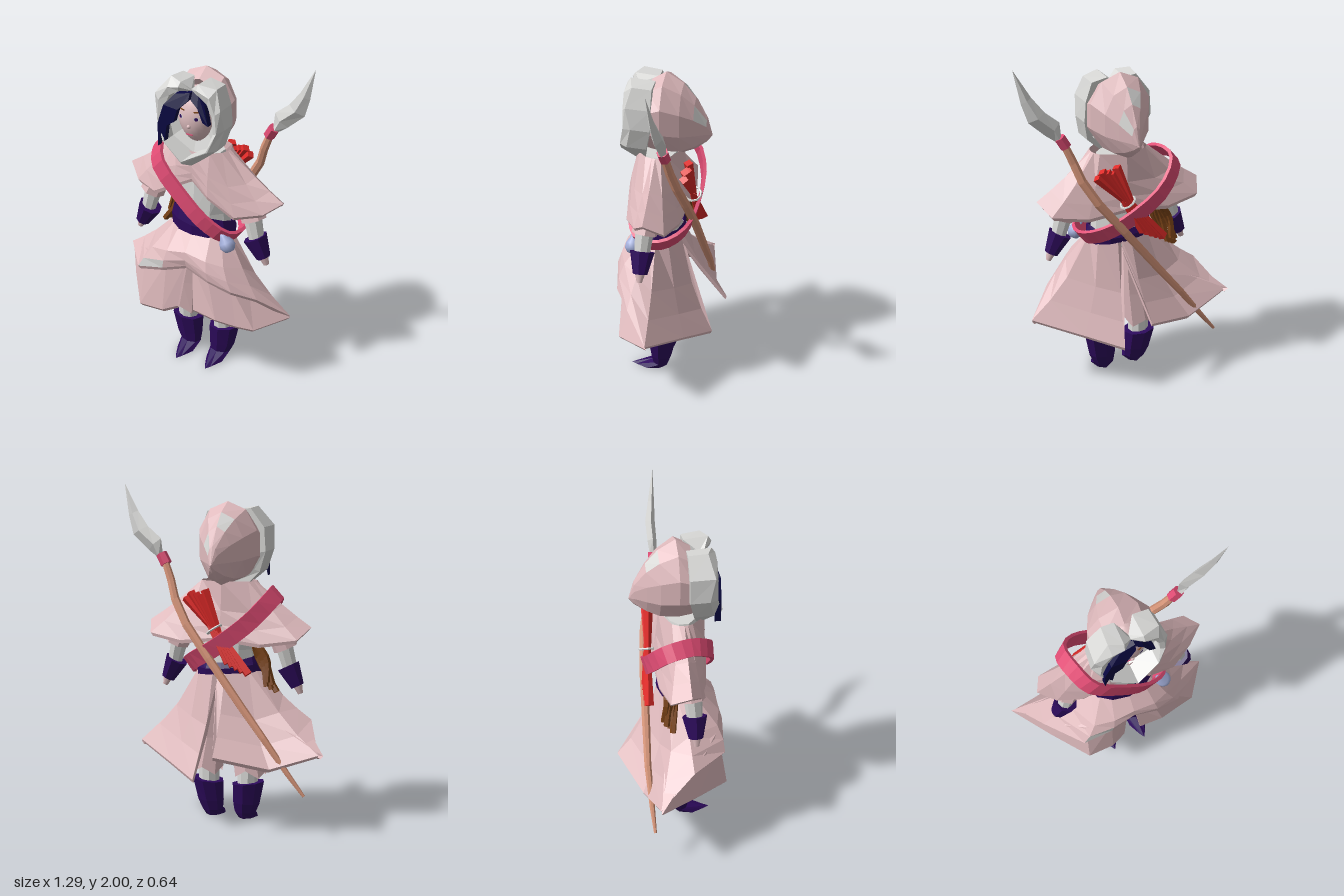
import * as THREE from 'three';

const V = (x, y, z) => new THREE.Vector3(x, y, z);
const paint = (name, color, flatShading = true) => {
  const m = new THREE.MeshStandardMaterial({ color, flatShading, side: THREE.DoubleSide });
  m.name = name;
  return m;
};

export function createModel() {
  const root = new THREE.Group();
  const cloth = paint('pinkCloth', 0xe0bbbe), grey = paint('paleGrey', 0xd8d8d6);
  const skin = paint('skin', 0xe2c0c2, false), purple = paint('purpleLeather', 0x2d0a5c);
  const navy = paint('navyHair', 0x0a0842), crimson = paint('crimsonBand', 0xe04c74);
  const red = paint('redQuiver', 0xe02a28), wood = paint('wood', 0xd8967a);
  const brown = paint('brownLeather', 0x7a4317), blue = paint('blueBag', 0xa4b0dc, false);

  const add = (name, geo, mat) => {
    const m = new THREE.Mesh(geo, mat);
    m.name = name;
    root.add(m);
    return m;
  };
  // Skin through rings of points; patches are [ring, segment] faces in grey
  const loft = (name, rings, mat, { closed = true, cap = false, patches = [] } = {}) => {
    const pts = [], n = rings[0].length, geo = new THREE.BufferGeometry();
    for (let i = 0; i < rings.length - 1; i++)
      for (let j = 0; j < (closed ? n : n - 1); j++) {
        const k = (j + 1) % n, a = rings[i][j], b = rings[i][k], c = rings[i + 1][k], d = rings[i + 1][j];
        const grp = patches.some(p => p[0] === i && p[1] === j) ? 1 : 0;
        if (patches.length) geo.addGroup(pts.length, 6, grp);
        pts.push(a, d, c, a, c, b);
      }
    if (cap) for (const r of [rings[0], rings[rings.length - 1]]) {
      const mid = r.reduce((s, p) => s.add(p), V(0, 0, 0)).divideScalar(n);
      r.forEach((p, j) => r === rings[0] ? pts.push(mid, p, r[(j + 1) % n]) : pts.push(mid, r[(j + 1) % n], p));
    }
    geo.setFromPoints(pts);
    geo.computeVertexNormals();
    return add(name, geo, patches.length ? [mat, grey] : mat);
  };
  // Horizontal ring, first point at the front; jag lowers every other point
  const ring = (cx, y, cz, rx, rz, n = 8, jag = 0) => Array.from({ length: n }, (_, i) => {
    const a = i / n * Math.PI * 2;
    return V(cx + rx * Math.sin(a), y - (i % 2) * jag, cz + rz * Math.cos(a));
  });
  const rod = (name, a, b, r0, r1, mat, sides = 7) => {
    const m = add(name, new THREE.CylinderGeometry(r1, r0, a.distanceTo(b), sides), mat);
    m.position.copy(a).lerp(b, 0.5);
    m.quaternion.setFromUnitVectors(V(0, 1, 0), b.clone().sub(a).normalize());
    return m;
  };
  // Thick cloth from an oval neckline or waist to a pointed hem: bulges in front, hollow at sides and back
  const garment = (name, hem, y, rx, rz, cz, bulge, patches = []) => {
    const top = hem.map(p => {
      const a = Math.atan2(p.x, p.z - cz);
      return V(rx * Math.sin(a), y, cz + rz * Math.cos(a));
    });
    const step = (t, amount, inset = 0) => top.map((p, i) => {
      const q = p.clone().lerp(hem[i], t);
      const out = amount * THREE.MathUtils.clamp((hem[i].z - 0.12) / 0.15, -0.6, 1) - inset;
      return V(q.x * (1 + Math.min(out, 0)), q.y, cz + (q.z - cz) * (1 + out));
    });
    const under = hem.map(p => V(p.x * 0.97, p.y - 0.02, p.z * 0.97));
    return loft(name, [top, step(0.52, bulge), step(0.78, bulge * 0.6), hem, under, step(0.6, bulge, 0.08)],
      cloth, { patches });
  };

  // Torso and belt
  loft('torso', [ring(0, 0.85, 0.07, 0.18, 0.13, 10), ring(0, 1.04, 0.07, 0.16, 0.12, 10),
    ring(0, 1.26, 0.07, 0.18, 0.11, 10), ring(0, 1.42, 0.07, 0.13, 0.09, 10)], grey, { cap: true });
  const beltEdge = (front, back, r) => ring(0, 0, 0.07, r, r - 0.06, 12).map(p =>
    V(p.x, THREE.MathUtils.lerp(back, front, (p.z + 0.08) / 0.3) - p.x * 0.09, p.z));
  loft('belt', [beltEdge(1.05, 0.96, 0.19), beltEdge(0.97, 0.93, 0.205), beltEdge(0.88, 0.9, 0.2)], purple);

  // Shoulder cape
  const capeSide = [[0.12, 1.2, 0.235], [0.28, 1.1, 0.21], [0.42, 1.12, 0.13], [0.51, 1.185, 0.06],
    [0.46, 1.12, -0.05], [0.25, 1.09, -0.09]];
  garment('cape', [V(0, 1.27, 0.205), ...capeSide.map(p => V(...p)), V(0, 1.12, -0.1),
    ...capeSide.slice().reverse().map(p => V(-p[0], p[1], p[2] - (p[2] > 0.15 ? 0.035 : 0)))],
    1.44, 0.17, 0.13, 0.07, 0.1);

  // Overskirt with split back tails, and the two front panels below it
  const hem = [[0, 0.73, 0.28], [0.16, 0.69, 0.3], [0.3, 0.64, 0.27], [0.42, 0.58, 0.18], [0.57, 0.44, 0.04],
    [0.3, 0.36, -0.13], [0.1, 0.3, -0.26], [0.03, 0.82, -0.08], [-0.05, 0.46, -0.32], [-0.35, 0.39, -0.2],
    [-0.62, 0.48, -0.13], [-0.51, 0.64, 0.08], [-0.33, 0.63, 0.29], [-0.15, 0.68, 0.3]].map(p => V(...p));
  garment('overskirt', hem, 0.92, 0.19, 0.13, 0.07, 0.24, [[2, 12]]);
  const panel = (name, top, low) => {
    const t = top.map(p => V(...p)), l = low.map(p => V(...p));
    loft(name, [t, l, l.map(p => V(p.x * 0.97, p.y - 0.02, p.z * 0.95)), t.map(p => V(p.x * 0.95, p.y, p.z * 0.93))],
      cloth, { closed: false });
  };
  panel('rightSkirtPanel', [[-0.02, 0.73, 0.24], [-0.14, 0.7, 0.27], [-0.3, 0.65, 0.26], [-0.45, 0.65, 0.08], [-0.4, 0.6, -0.08]],
    [[-0.06, 0.43, 0.28], [-0.15, 0.39, 0.31], [-0.31, 0.38, 0.31], [-0.48, 0.43, 0.1], [-0.65, 0.48, -0.13]]);
  panel('leftSkirtPanel', [[0.02, 0.73, 0.24], [0.14, 0.7, 0.27], [0.28, 0.66, 0.24], [0.36, 0.6, 0.16], [0.43, 0.52, 0.03]],
    [[0.05, 0.44, 0.28], [0.2, 0.42, 0.28], [0.32, 0.4, 0.25], [0.43, 0.4, 0.23], [0.57, 0.43, 0.04]]);

  for (const s of [1, -1]) {
    const side = s > 0 ? 'left' : 'right';
    // Leg: flared trouser, lining and pointed boot
    loft(side + 'Trouser', [ring(s * 0.08, 0.8, 0.06, 0.08, 0.09), ring(s * 0.11, 0.5, 0.06, 0.09, 0.08),
      ring(s * 0.14, 0.32, 0.055, 0.105, 0.085, 8, 0.045)], cloth);
    rod(side + 'LegLining', V(s * 0.125, 0.215, 0.05), V(s * 0.125, 0.42, 0.06), 0.062, 0.065, grey, 9);
    const bootTop = r => ring(s * 0.13, 0, 0.045, r, r * 0.9).map(p => V(p.x, 0.237 + (Math.abs(p.x) - 0.13) * 0.12, p.z));
    const sole = ring(s * 0.105, 0.008, 0.13, 0.055, 0.11).map(p =>
      V(s * 0.105 + (p.x - s * 0.105) * (p.z > 0.15 ? 0.5 : 1), p.y - (p.z - 0.13) * 0.04, p.z));
    loft(side + 'Boot', [bootTop(0.06), bootTop(0.1), ring(s * 0.115, 0.11, 0.05, 0.085, 0.065),
      ring(s * 0.105, 0.05, 0.055, 0.067, 0.05), sole], purple, { cap: true });
    // Arm: sleeve, lining, gauntlet and hand
    rod(side + 'Sleeve', V(s * 0.345, 1.05, 0.09), V(s * 0.25, 1.28, 0.06), 0.075, 0.055, cloth);
    rod(side + 'SleeveLining', V(s * 0.37, 0.93, 0.1), V(s * 0.33, 1.08, 0.09), 0.045, 0.055, grey, 8);
    rod(side + 'Gauntlet', V(s * 0.416, 0.828, 0.1), V(s * 0.358, 0.945, 0.1), 0.042, 0.072, purple, 8);
    rod(side + 'Hand', V(s * 0.435, 0.785, 0.1), V(s * 0.41, 0.85, 0.1), 0.016, 0.034, skin, 8);
    // Eye and brow plates
    for (const [part, r, z, mat] of [['Eye', 0.019, 0.231, grey], ['Iris', 0.011, 0.234, purple]]) {
      const eye = add(side + part, new THREE.CircleGeometry(r, 12), mat);
      eye.scale.y = part === 'Eye' ? 0.6 : 1;
      eye.position.set(s * 0.05, 1.66, z);
      eye.rotation.y = s * 0.4;
    }
    const brow = add(side + 'Brow', new THREE.BoxGeometry(0.04, 0.005, 0.006), brown);
    brow.position.set(s * 0.05, 1.698, 0.222);
    brow.rotation.y = s * 0.4;
  }

  // Head with a narrowing chin
  const head = new THREE.SphereGeometry(1, 24, 18), hp = head.attributes.position;
  for (let i = 0; i < hp.count; i++) {
    const y = hp.getY(i), k = 1 - 0.22 * Math.max(0, -y);
    hp.setXYZ(i, hp.getX(i) * 0.125 * k, 1.645 + y * 0.165, 0.12 + hp.getZ(i) * 0.115);
  }
  head.computeVertexNormals();
  add('head', head, skin);
  add('nose', new THREE.SphereGeometry(0.012, 8, 6), skin).position.set(0, 1.605, 0.231);
  add('mouth', new THREE.BoxGeometry(0.04, 0.005, 0.006), crimson).position.set(-0.005, 1.55, 0.216);

  // Hair locks, leaning back above the brow
  const lock = (name, z, pts) => {
    const geo = new THREE.ExtrudeGeometry(new THREE.Shape(pts.map(p => new THREE.Vector2(...p))),
      { depth: 0.035, bevelEnabled: false });
    const p = geo.attributes.position;
    for (let i = 0; i < p.count; i++) p.setZ(i, p.getZ(i) + z - Math.max(0, p.getY(i) - 1.72) * 0.4);
    geo.computeVertexNormals();
    add(name, geo, navy);
  };
  lock('longHairLock', 0.235, [[0.01, 1.81], [-0.08, 1.79], [-0.14, 1.72], [-0.18, 1.6], [-0.178, 1.46], [-0.155, 1.55],
    [-0.135, 1.5], [-0.12, 1.6], [-0.075, 1.63], [-0.05, 1.71], [0.01, 1.77]]);
  lock('shortHairLock', 0.208, [[0.0, 1.81], [0.05, 1.8], [0.1, 1.75], [0.13, 1.64], [0.095, 1.655], [0.06, 1.73], [0, 1.77]]);

  // Hood, drawn back to a point
  const hoodRings = [[0.12, 0.19, 1.85, 1.44], [0.04, 0.19, 1.9, 1.42], [-0.06, 0.14, 1.84, 1.42],
    [-0.13, 0.085, 1.76, 1.45], [-0.195, 0.03, 1.65, 1.5], [-0.225, 0.003, 1.545, 1.54]].map(([z, rx, top, low]) =>
    Array.from({ length: 10 }, (_, i) => {
      const a = i / 10 * Math.PI * 2;
      return V(rx * Math.sin(a), (top + low) / 2 + (top - low) / 2 * Math.cos(a), z);
    }));
  loft('hood', hoodRings, cloth, { patches: [[2, 9], [3, 1]] });

  // Chunky fur rim and collar round the face
  const outer = [[0, 1.82], [0.06, 1.87], [0.16, 1.85], [0.2, 1.74], [0.21, 1.62], [0.18, 1.5], [0, 1.35],
    [-0.18, 1.5], [-0.23, 1.62], [-0.22, 1.76], [-0.13, 1.87], [-0.05, 1.86]];
  const inside = [[0, 1.8], [0.06, 1.81], [0.12, 1.77], [0.15, 1.7], [0.16, 1.6], [0.135, 1.5], [0, 1.425],
    [-0.135, 1.5], [-0.16, 1.6], [-0.15, 1.7], [-0.12, 1.77], [-0.06, 1.81]];
  const rim = outer.map(([x, y], i) => {
    const [u, v] = inside[i], back = 0.09 + Math.max(0, 1.6 - y) * 0.3 + (i ? 0 : 0.08);
    const front = 0.24 - (i ? 0 : 0.05), k = v < 1.55 ? 0.8 : 0.5;
    return [V(x * 0.94, y - 0.01, back), V(x, y, 0.2 + (i % 2) * 0.03),
      V(x + (u - x) * k, y + (v - y) * k, front + 0.01 + Math.max(0, 1.56 - v) * 0.45),
      V(u, v, front + Math.max(0, 1.58 - v) * 0.5), V(u, v, back)];
  });
  loft('furRim', [...rim, rim[0]], grey);
  loft('collarLining', [inside.map(([x, y]) => V(x, y, 0.18)), inside.map(() => V(0, 1.62, 0.12))], grey);

  // Sash looping from right shoulder to left hip
  const path = new THREE.CatmullRomCurve3([[-0.29, 1.375, 0.09], [-0.23, 1.315, 0.2], [-0.05, 1.15, 0.235],
    [0.1, 1.02, 0.23], [0.21, 0.935, 0.17], [0.24, 0.93, 0.03], [0.16, 0.98, -0.09], [0, 1.07, -0.138],
    [-0.2, 1.22, -0.138], [-0.31, 1.355, -0.05]].map(p => V(...p)), true, 'centripetal');
  const sash = Array.from({ length: 29 }, (_, i) => {
    const p = path.getPoint(i / 28 % 1), t = path.getTangent(i / 28 % 1);
    const out = p.clone().sub(V(-0.03, 1.14, 0.04));
    out.addScaledVector(t, -out.dot(t)).normalize();
    const w = t.clone().cross(out);
    return [[1, 1], [1, -1], [-1, -1], [-1, 1]].map(([a, b]) =>
      p.clone().addScaledVector(w, a * 0.05).addScaledVector(out, b * 0.01));
  });
  loft('sash', sash, crimson);

  // Hip bag
  const bag = add('hipBag', new THREE.LatheGeometry([[0, -0.06], [0.03, -0.052], [0.046, -0.025], [0.042, 0.005],
    [0.02, 0.04], [0.016, 0.06], [0, 0.065]].map(p => new THREE.Vector2(...p)), 14), blue);
  bag.position.set(0.22, 0.91, 0.19);
  bag.rotation.z = 0.5;

  // Braided straps at the right hip
  for (let i = 0; i < 5; i++)
    add('hipStrap', new THREE.TubeGeometry(new THREE.CatmullRomCurve3([V(-0.18, 1.13, -0.02 - i * 0.008),
      V(-0.2 - i * 0.02, 1.0, 0.01 - i * 0.015), V(-0.33 + ((i * 2) % 5) * 0.014, 0.81 + i * 0.015, -0.02 - i * 0.012)]),
      8, 0.019, 5), brown);

  // Red bundle across the back, tied in the middle
  for (let i = -2; i <= 2; i++) {
    const knot = V(0.02 + i * 0.016, 1.17 + i * 0.01, -0.12);
    rod('bundleTop', knot, V(0.145 + i * 0.03, 1.37 + (i % 2) * 0.02 - i * 0.012, -0.105), 0.016, 0.028, red, 4);
    rod('bundleTail', knot, V(-0.135 + i * 0.032, 0.95 + i * 0.014, -0.14), 0.016, 0.028, red, 4);
  }
  const tie = add('bundleTie', new THREE.TorusGeometry(0.048, 0.007, 5, 10), grey);
  tie.position.set(0.02, 1.17, -0.12);
  tie.rotation.set(Math.PI / 2, -0.6, 0);

  // Spear: crooked shaft, binding and leaf blade
  const shaft = [[-0.545, 0.24, -0.155, 0.009], [-0.45, 0.36, -0.16, 0.016], [-0.3, 0.56, -0.165, 0.021],
    [-0.17, 0.72, -0.155, 0.024], [0.05, 1.0, -0.14, 0.026], [0.2, 1.19, -0.115, 0.027], [0.285, 1.33, -0.08, 0.027],
    [0.325, 1.44, -0.05, 0.026], [0.38, 1.57, -0.03, 0.022]];
  const spearRings = shaft.map(([x, y, z, r]) => Array.from({ length: 7 }, (_, j) => {
    const a = j / 7 * Math.PI * 2;
    return V(x + Math.cos(a) * r * 0.8, y - Math.cos(a) * r * 0.6, z + Math.sin(a) * r);
  }));
  loft('spearShaft', spearRings, wood, { cap: true });
  rod('spearBinding', V(0.36, 1.53, -0.035), V(0.395, 1.59, -0.028), 0.034, 0.034, crimson, 6);
  const blade = [[0.385, 1.59, 0.42, 1.57, -0.03], [0.395, 1.68, 0.475, 1.61, -0.033], [0.48, 1.75, 0.575, 1.7, -0.032],
    [0.55, 1.84, 0.61, 1.81, -0.018], [0.645, 2, 0.645, 2, 0]].map(([a, b, c, d, z], i) => {
    const t = [0.022, 0.026, 0.028, 0.018, 0][i], x = (a + c) / 2, y = (b + d) / 2;
    return [V(a, b, z), V(x, y, z + t), V(c, d, z), V(x, y, z - t)];
  });
  loft('spearBlade', blade, grey, { cap: true });

  return root;
}
